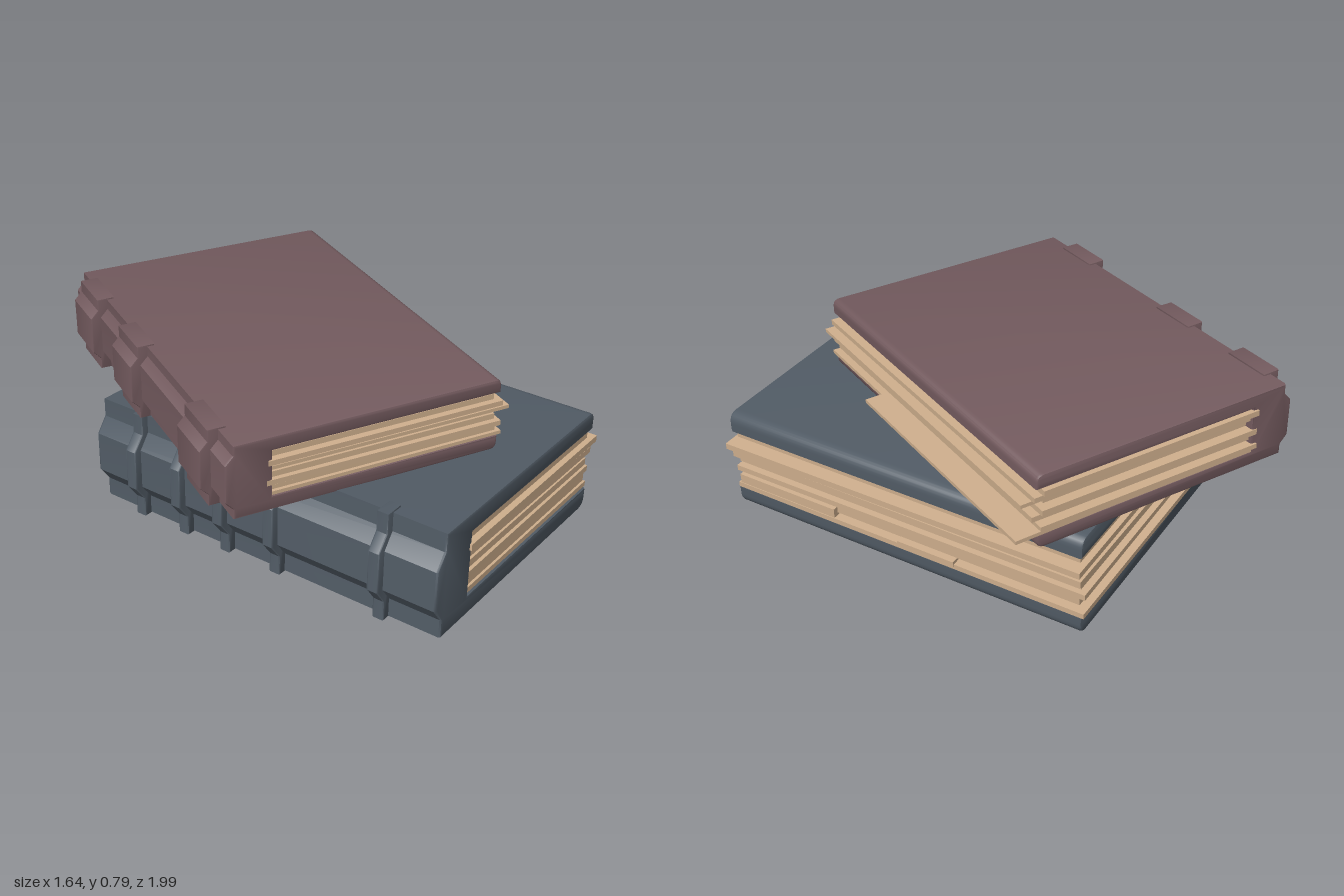
import * as THREE from 'three';
import { toCreasedNormals } from 'three/addons/utils/BufferGeometryUtils.js';

const mat = (color) => new THREE.MeshStandardMaterial({ color });
const paper = mat(0xd0b08e);

function add(parent, name, geometry, material) {
  const mesh = new THREE.Mesh(geometry, material);
  mesh.name = name;
  parent.add(mesh);
  return mesh;
}

// Extrude a profile along z, centred on z
function extrude(shape, length, bevel) {
  const g = new THREE.ExtrudeGeometry(shape, {
    depth: length - 2 * bevel, bevelEnabled: true, bevelSize: bevel,
    bevelThickness: bevel, bevelOffset: -bevel, bevelSegments: 2, curveSegments: 6,
  });
  g.translate(0, 0, -(length - 2 * bevel) / 2);
  return toCreasedNormals(g, 0.6);
}

// C-shaped binding: two boards joined by a faceted, bulging spine
function bindingShape({ left, bulge, right, inner, h, open, lip, round }) {
  const s = new THREE.Shape();
  s.moveTo(left, h);
  s.lineTo(left, h - lip);
  s.lineTo(left - bulge, h - lip * 1.8);
  s.lineTo(left - bulge, -h + lip * 1.8);
  s.lineTo(left, -h + lip);
  s.lineTo(left, -h);
  s.lineTo(right - round, -h);
  s.quadraticCurveTo(right, -h, right, -h + round);
  s.lineTo(right, -open);
  s.lineTo(inner, -open);
  s.lineTo(inner, open);
  s.lineTo(right, open);
  s.lineTo(right, h - round);
  s.quadraticCurveTo(right, h, right - round, h);
  s.closePath();
  return s;
}

// Raised band following the spine and lapping a little over the boards
function bandShape({ left, bulge, h, lip, bandOut, bandLap }) {
  const top = h + 0.006, s = new THREE.Shape();
  const out = left - bandOut;
  s.moveTo(left + bandLap, top);
  s.lineTo(out, top);
  s.lineTo(out, h - lip);
  s.lineTo(out - bulge, h - lip * 1.8);
  s.lineTo(out - bulge, -h + lip * 1.8);
  s.lineTo(out, -h + lip);
  s.lineTo(out, -top);
  s.lineTo(left + bandLap, -top);
  s.closePath();
  return s;
}

function makeBook(name, p) {
  const book = new THREE.Group();
  book.name = name;
  const cover = mat(p.color);
  add(book, 'binding', extrude(bindingShape(p), p.length, 0.01), cover);
  p.bands.forEach((z) => {
    add(book, 'spineBand', extrude(bandShape(p), p.bandWidth, 0.006), cover).position.z = z;
  });

  // Solid core of the page block
  const x0 = p.inner - 0.02, coreRight = p.right - 0.045;
  const core = add(book, 'pageCore',
    new THREE.BoxGeometry(coreRight - x0, p.open * 2, p.length - 0.07), paper);
  core.position.x = (x0 + coreRight) / 2;

  // Uneven sheaves: [y, thickness, right edge, back z, front z, yaw, roll]
  p.sheaves.forEach(([y, t, right, z0, z1, yaw = 0, roll = 0]) => {
    const sheaf = add(book, 'sheaf', new THREE.BoxGeometry(right - x0, t, z1 - z0), paper);
    sheaf.position.set((x0 + right) / 2, y, (z0 + z1) / 2);
    sheaf.rotation.set(0, yaw, roll);
  });

  book.position.set(...p.position);
  book.rotation.set(...p.tilt, 'YXZ');
  return book;
}

export function createModel() {
  const group = new THREE.Group();
  group.name = 'bookStack';

  group.add(makeBook('lowerBook', {
    color: 0x525c66, left: -0.525, bulge: 0.045, right: 0.57, inner: -0.35,
    h: 0.216, open: 0.135, lip: 0.075, round: 0.045, length: 1.566,
    bandOut: 0.03, bandLap: 0.05, bandWidth: 0.05,
    bands: [0.54, 0.08, -0.157, -0.36, -0.58],
    position: [0.021, 0.238, 0.075], tilt: [0.003, 0.291, -0.035],
    sheaves: [
      [0.115, 0.03, 0.55, -0.765, 0.77],
      [0.08, 0.026, 0.6, -0.785, 0.79, 0.004],
      [0.036, 0.026, 0.585, -0.79, 0.775, -0.004],
      [-0.004, 0.03, 0.55, -0.77, 0.775],
      [-0.042, 0.024, 0.565, -0.79, 0.78, 0.004],
      [-0.08, 0.03, 0.55, -0.765, 0.77],
      [-0.09, 0.045, 0.572, 0.3, 0.765],
      [-0.118, 0.022, 0.575, -0.795, 0.775],
      [-0.105, 0.022, 0.58, -0.25, 0.0],
    ],
  }));

  group.add(makeBook('upperBook', {
    color: 0x745b5f, left: -0.515, bulge: 0.03, right: 0.538, inner: -0.37,
    h: 0.146, open: 0.09, lip: 0.04, round: 0.03, length: 1.494,
    bandOut: 0.04, bandLap: 0.03, bandWidth: 0.2,
    bands: [-0.56, -0.126, 0.525],
    position: [-0.125, 0.622, -0.17], tilt: [0.018, -0.178, -0.012],
    sheaves: [
      [0.074, 0.022, 0.515, -0.755, 0.735],
      [0.046, 0.02, 0.545, -0.735, 0.75, 0.004],
      [0.02, 0.014, 0.58, -0.71, 0.742],
      [-0.006, 0.022, 0.52, -0.75, 0.74],
      [-0.034, 0.02, 0.545, -0.73, 0.75, -0.004],
      [-0.062, 0.016, 0.53, -0.755, 0.735],
      [-0.072, 0.014, 0.628, -0.755, 0.313, 0, -0.012],
      [-0.083, 0.014, 0.555, -0.745, 0.74],
    ],
  }));

  return group;
}
